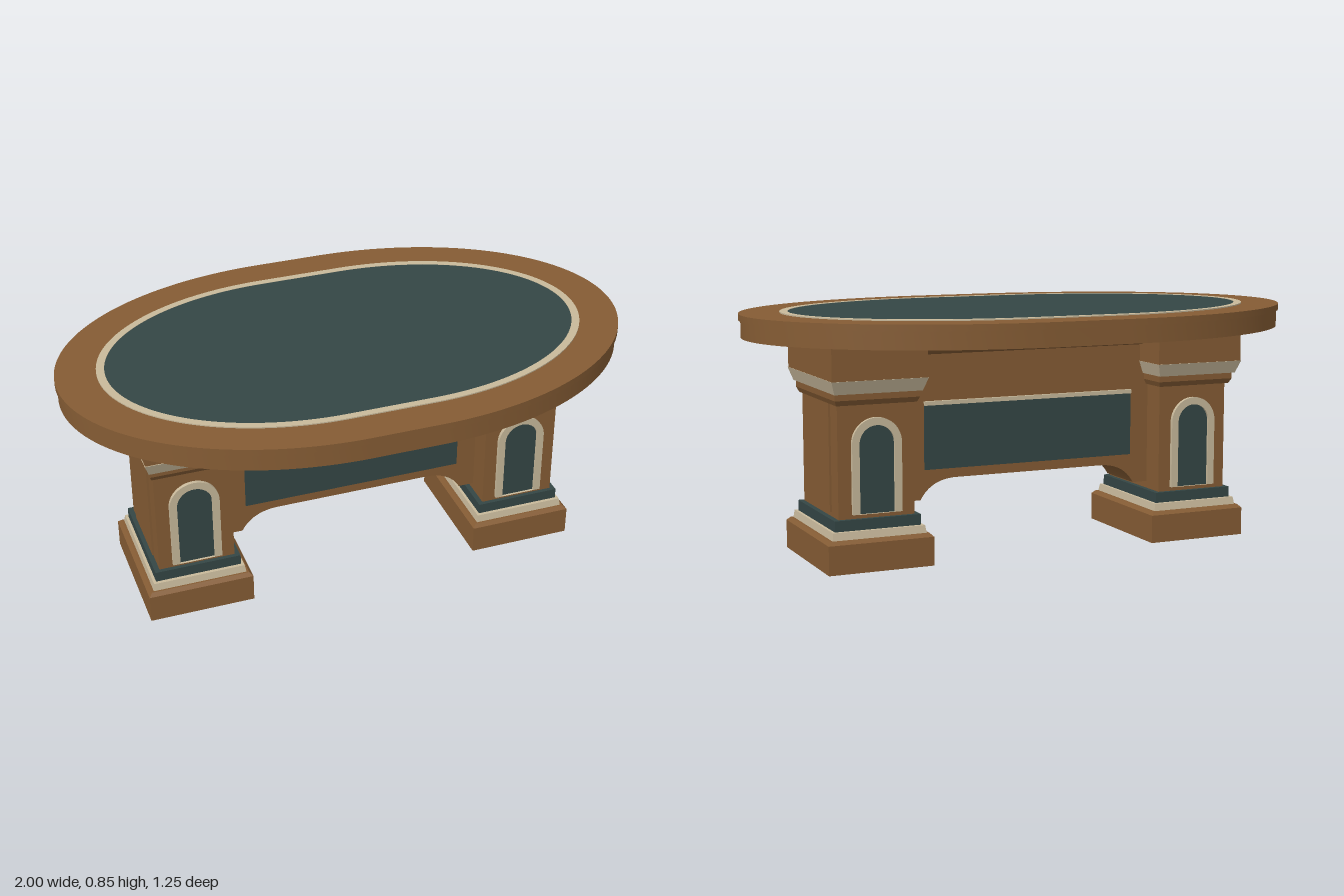
import * as THREE from 'three';
import { toCreasedNormals } from 'three/addons/utils/BufferGeometryUtils.js';

const mat = (name, color) => new THREE.MeshStandardMaterial({ name, color });

export function createModel() {
  const wood = mat('wood', 0x855c34);
  const green = mat('darkGreen', 0x344645);
  const cream = mat('cream', 0xc8b99b);
  const model = new THREE.Group();
  model.name = 'ovalTable';

  const add = (parent, name, geometry, material, x = 0, y = 0, z = 0) => {
    const mesh = new THREE.Mesh(geometry, material);
    mesh.name = name;
    mesh.position.set(x, y, z);
    parent.add(mesh);
    return mesh;
  };
  const extrude = (shape, depth, curveSegments = 12) =>
    toCreasedNormals(new THREE.ExtrudeGeometry(shape, { depth, bevelEnabled: false, curveSegments }), 0.5);

  // Box whose top may be wider or narrower than its bottom
  const tier = (y0, y1, hx0, hz0, hx1 = hx0, hz1 = hz0) => {
    const g = new THREE.BoxGeometry(2, 2, 2);
    const p = g.attributes.position;
    for (let i = 0; i < p.count; i++) {
      const top = p.getY(i) > 0;
      p.setXYZ(i, p.getX(i) * (top ? hx1 : hx0), top ? y1 : y0, p.getZ(i) * (top ? hz1 : hz0));
    }
    g.computeVertexNormals();
    return g;
  };

  // Oval with short straight sides
  const oval = (rx, rz, s, Type = THREE.Shape) => {
    const o = new Type();
    o.moveTo(s, -rz);
    o.absellipse(s, 0, rx - s, rz, -Math.PI / 2, Math.PI / 2, false, 0);
    o.lineTo(-s, rz);
    o.absellipse(-s, 0, rx - s, rz, Math.PI / 2, Math.PI * 1.5, false, 0);
    o.closePath();
    return o;
  };
  const slab = (shape, y, height) => extrude(shape, height, 40).rotateX(-Math.PI / 2).translate(0, y, 0);

  // Table top: apron, lip, inlaid ring and playing surface
  const top = new THREE.Group();
  top.name = 'tableTop';
  model.add(top);
  add(top, 'topApron', slab(oval(0.993, 0.618, 0.12), 0.768, 0.06), wood);
  add(top, 'topLip', slab(oval(1, 0.625, 0.12), 0.828, 0.022), wood);
  const ring = oval(0.86, 0.497, 0.15);
  ring.holes.push(oval(0.832, 0.471, 0.15, THREE.Path));
  add(top, 'inlayRing', slab(ring, 0.85, 0.004), cream);
  add(top, 'topSurface', slab(oval(0.833, 0.472, 0.15), 0.85, 0.003), green);

  // Round-headed outline for the niches, base on y = 0
  const arch = (half, height, Type = THREE.Shape) => {
    const a = new Type();
    a.moveTo(-half, 0);
    a.lineTo(half, 0);
    a.lineTo(half, height - half);
    a.absarc(0, height - half, half, 0, Math.PI, false);
    a.closePath();
    return a;
  };
  const archFrame = arch(0.088, 0.325);
  archFrame.holes.push(arch(0.062, 0.299, THREE.Path));
  const frameGeo = extrude(archFrame, 0.014);
  const nicheGeo = extrude(arch(0.064, 0.3), 0.005);

  // Pedestal tiers from floor to table top
  const tiers = [
    ['plinth', wood, [0, 0.1, 0.187, 0.24]],
    ['plinthBevel', wood, [0.1, 0.112, 0.187, 0.24, 0.175, 0.228]],
    ['lowerMoulding', cream, [0.112, 0.138, 0.167, 0.222, 0.163, 0.217]],
    ['footBand', green, [0.138, 0.175, 0.153, 0.205]],
    ['shaft', wood, [0.175, 0.57, 0.135, 0.19]],
    ['neckFlare', wood, [0.56, 0.578, 0.142, 0.205, 0.15, 0.215]],
    ['neck', wood, [0.578, 0.6, 0.15, 0.215]],
    ['upperMoulding', cream, [0.6, 0.645, 0.155, 0.228, 0.17, 0.246]],
    ['capital', wood, [0.645, 0.77, 0.168, 0.243]],
  ];
  for (const side of [-1, 1]) {
    const pedestal = new THREE.Group();
    pedestal.name = side > 0 ? 'leftPedestal' : 'rightPedestal';
    pedestal.position.x = side * 0.607;
    model.add(pedestal);
    for (const [name, material, size] of tiers) add(pedestal, name, tier(...size), material);
    add(pedestal, 'sidePanel', new THREE.BoxGeometry(0.008, 0.37, 0.24), wood, side * 0.138, 0.375, 0);
    // Niches on front and back
    for (const turn of [0, Math.PI]) {
      const niche = new THREE.Group();
      niche.name = turn ? 'backNiche' : 'frontNiche';
      niche.rotation.y = turn;
      pedestal.add(niche);
      add(niche, 'nicheFrame', frameGeo, cream, 0, 0.19, 0.189);
      add(niche, 'nichePanel', nicheGeo, green, 0, 0.19, 0.189);
    }
  }

  // Stretcher wall with a curved underside
  const wall = new THREE.Shape();
  wall.moveTo(-0.48, 0.77);
  wall.lineTo(-0.48, 0.2);
  wall.lineTo(-0.415, 0.2);
  wall.quadraticCurveTo(-0.375, 0.272, -0.28, 0.272);
  wall.lineTo(0.28, 0.272);
  wall.quadraticCurveTo(0.375, 0.272, 0.415, 0.2);
  wall.lineTo(0.48, 0.2);
  wall.lineTo(0.48, 0.77);
  wall.closePath();
  add(model, 'stretcher', extrude(wall, 0.2), wood, 0, 0, -0.1);

  // Beam under the top with coved lower edges
  const beam = new THREE.Shape();
  beam.moveTo(-0.16, 0.77);
  beam.lineTo(-0.16, 0.745);
  beam.quadraticCurveTo(-0.15, 0.71, -0.1, 0.705);
  beam.lineTo(0.1, 0.705);
  beam.quadraticCurveTo(0.15, 0.71, 0.16, 0.745);
  beam.lineTo(0.16, 0.77);
  beam.closePath();
  add(model, 'beam', extrude(beam, 0.9).translate(0, 0, -0.45).rotateY(Math.PI / 2), wood);

  // Inset panels with a trim strip above, front and back
  for (const z of [-1, 1]) {
    add(model, 'stretcherPanel', new THREE.BoxGeometry(0.8, 0.225, 0.008), green, 0, 0.418, z * 0.101);
    add(model, 'panelTrim', new THREE.BoxGeometry(0.8, 0.014, 0.018), cream, 0, 0.537, z * 0.104);
  }
  return model;
}
